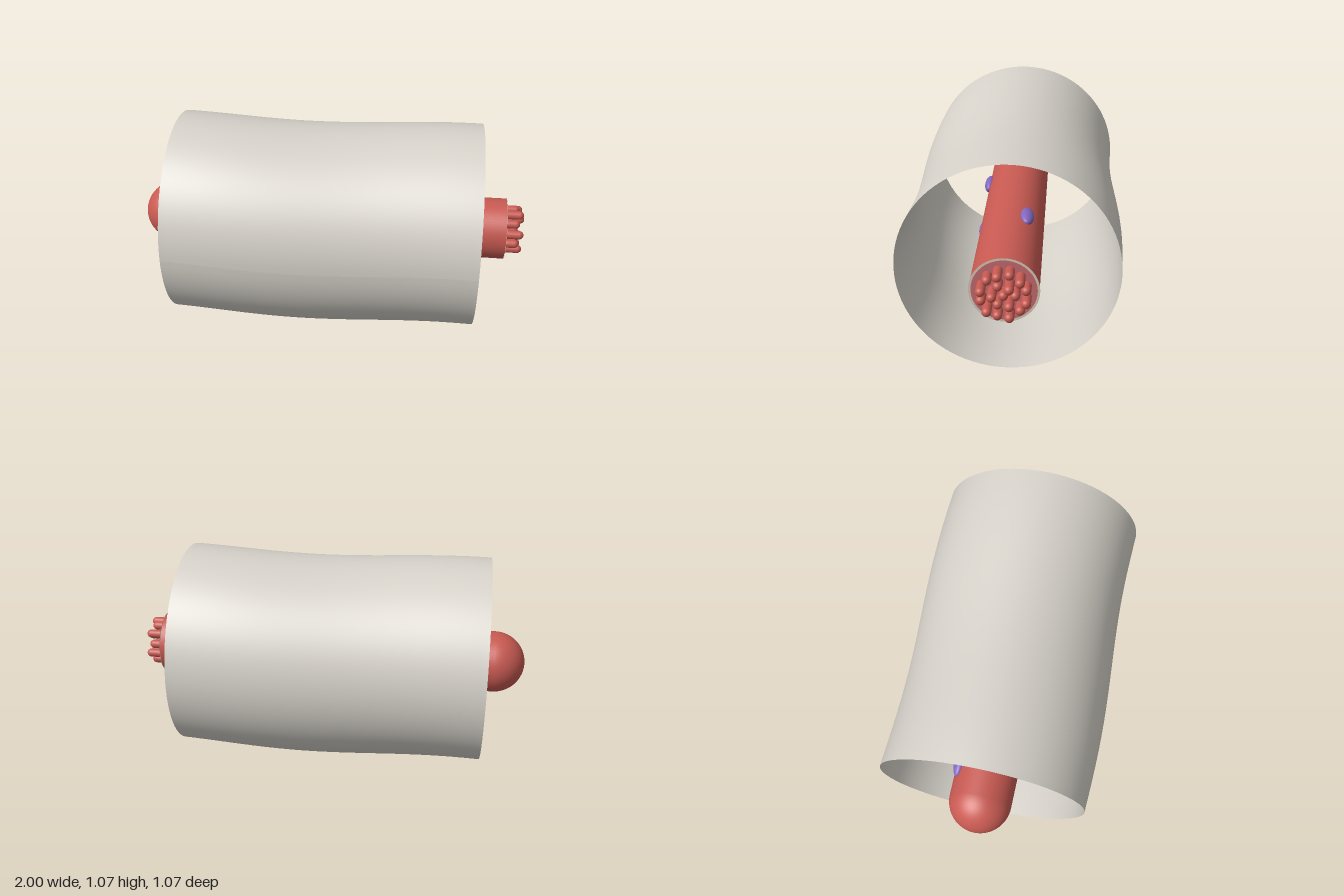
import * as THREE from 'three';

const AXIS_Y = 0.54;
const FIBRE_R = 0.157;
const END_X = 0.9;

const mat = (name, color, side = THREE.FrontSide) => {
  const m = new THREE.MeshStandardMaterial({ color, side });
  m.name = name;
  return m;
};

export function createModel() {
  const group = new THREE.Group();
  const sheathMat = mat('pale grey', 0xd6d2ca, THREE.DoubleSide);
  const redMat = mat('muscle red', 0xc85a52);
  const pinkMat = mat('cut face pink', 0xc86a70);
  const rimMat = mat('rim beige', 0xd9cbb8, THREE.DoubleSide);
  const purpleMat = mat('nucleus purple', 0x8468c0);

  const add = (name, geometry, material, parent = group) => {
    const mesh = new THREE.Mesh(geometry, material);
    mesh.name = name;
    parent.add(mesh);
    return mesh;
  };

  // Open outer sheath: a cylinder along x whose centre line waves gently
  const sheath = new THREE.CylinderGeometry(0.522, 0.522, 1.55, 96, 48, true);
  sheath.rotateZ(-Math.PI / 2);
  sheath.translate(-0.02, 0, 0);
  const p = sheath.attributes.position;
  for (let i = 0; i < p.count; i++) {
    const x = p.getX(i);
    p.setY(i, p.getY(i) + 0.528 + 0.014 * (1 - Math.cos(Math.PI * x / 0.8)));
    p.setZ(i, p.getZ(i) - 0.003 - 0.0135 * Math.sin(Math.PI * x / 0.78));
  }
  sheath.computeVertexNormals();
  add('outerSheath', sheath, sheathMat);

  // Inner fibre: domed at -x, cut flat at +x
  const profile = [];
  for (let i = 0; i <= 16; i++) {
    const a = (i / 16) * Math.PI / 2;
    profile.push(new THREE.Vector2(FIBRE_R * Math.sin(a), -1 + FIBRE_R * (1 - Math.cos(a))));
  }
  profile.push(new THREE.Vector2(FIBRE_R, 0), new THREE.Vector2(FIBRE_R, END_X));
  const fibre = new THREE.LatheGeometry(profile, 64);
  fibre.rotateZ(-Math.PI / 2);
  add('fibre', fibre, redMat).position.y = AXIS_Y;

  // Cut face and the thin membrane rim around it
  const face = new THREE.CircleGeometry(0.15, 64);
  face.rotateY(Math.PI / 2);
  add('cutFace', face, pinkMat).position.set(END_X, AXIS_Y, 0);
  const rim = new THREE.RingGeometry(0.149, 0.16, 64);
  rim.rotateY(Math.PI / 2);
  add('membraneRim', rim, rimMat).position.set(END_X + 0.002, AXIS_Y, 0);

  // Bundle of rods: one in the middle, then rings of 6 and 12
  const rods = new THREE.Group();
  rods.name = 'rods';
  group.add(rods);
  const rings = [[1, 0, 0], [6, 0.052, 0], [12, 0.104, Math.PI / 12]];
  let index = 0;
  for (const [count, radius, offset] of rings) {
    for (let i = 0; i < count; i++) {
      const a = offset + (i / count) * Math.PI * 2;
      const tip = 0.97 + 0.01 * ((index++ * 2) % 4);
      const r = 0.022;
      const start = 0.86;
      const rod = new THREE.CapsuleGeometry(r, tip - start - 2 * r, 6, 16);
      rod.rotateZ(-Math.PI / 2);
      add('rod', rod, redMat, rods).position.set(
        (start + tip) / 2, AXIS_Y + radius * Math.sin(a), radius * Math.cos(a));
    }
  }
  // One rod reaches the full length
  rods.children[3].position.x += 0.01;

  // Flattened nuclei on the fibre surface: [x, angle from +z towards +y]
  const nuclei = [
    [-0.68, 151], [0.65, 220], [-0.45, 60], [0.42, 120],
    [-0.2, 14], [0.2, 340], [-0.05, 289], [0.02, 260],
  ];
  for (const [x, degrees] of nuclei) {
    const a = THREE.MathUtils.degToRad(degrees);
    const geometry = new THREE.SphereGeometry(1, 28, 18);
    geometry.scale(0.08, 0.035, 0.025);
    const nucleus = add('nucleus', geometry, purpleMat);
    nucleus.rotation.x = -a;
    nucleus.position.set(x, AXIS_Y + 0.16 * Math.sin(a), 0.16 * Math.cos(a));
  }
  return group;
}
